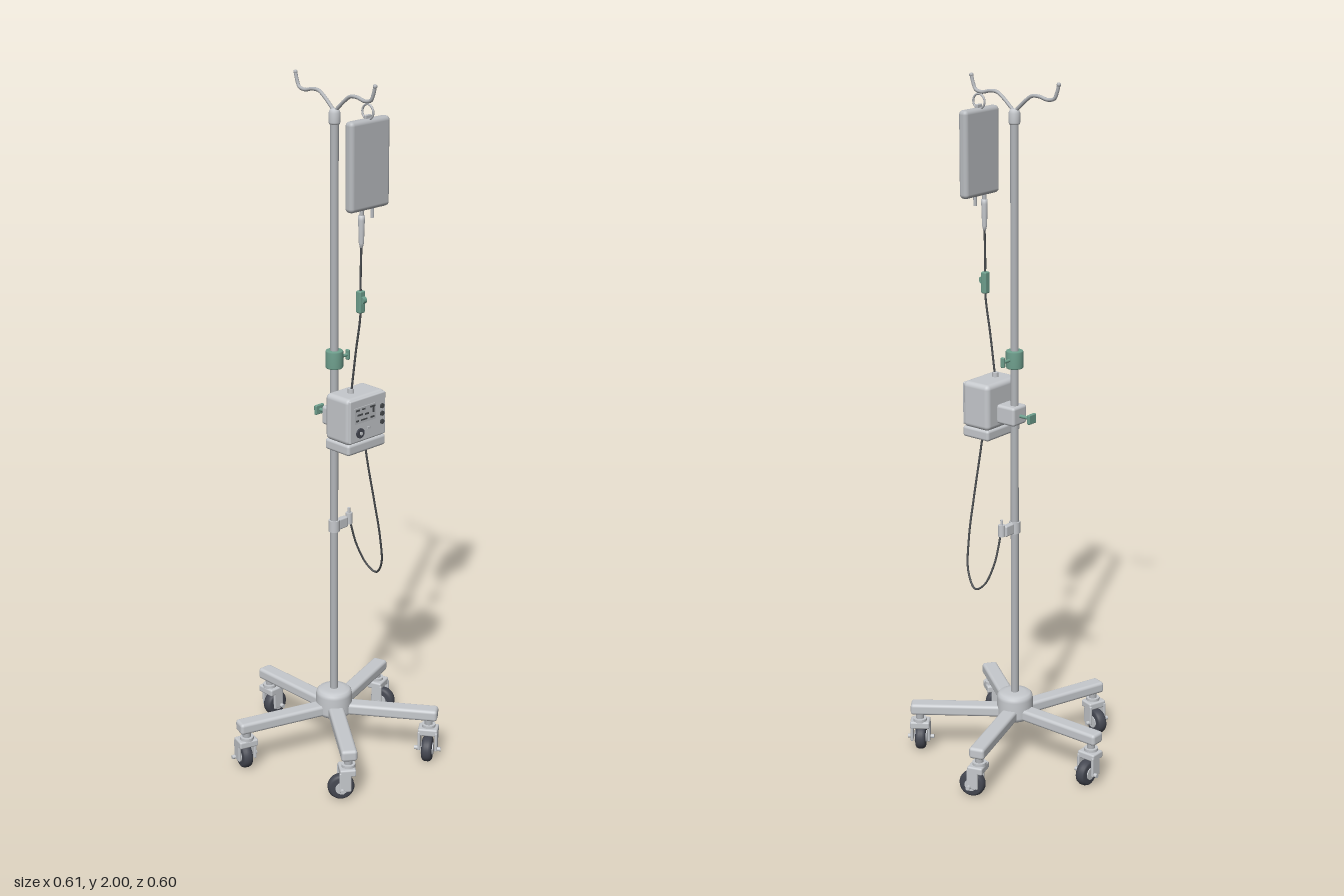
import * as THREE from 'three';
import { RoundedBoxGeometry } from 'three/addons/geometries/RoundedBoxGeometry.js';

const PX = -0.007, PZ = 0.021; // pole axis

const mat = (name, color) => {
  const m = new THREE.MeshStandardMaterial({ color });
  m.name = name;
  return m;
};

export function createModel() {
  const shell = mat('light grey shell', 0xc6c9cd);
  const metal = mat('pole metal', 0xb2b5b9);
  const bagGrey = mat('bag grey', 0xb9bcc0);
  const rubber = mat('dark rubber', 0x454852);
  const green = mat('muted green', 0x6fa08e);
  const ink = mat('dark tubing', 0x4a4d50);

  const model = new THREE.Group();
  model.name = 'infusionStand';

  const add = (parent, name, geo, m, x = 0, y = 0, z = 0) => {
    const mesh = new THREE.Mesh(geo, m);
    mesh.name = name;
    mesh.position.set(x, y, z);
    parent.add(mesh);
    return mesh;
  };
  const box = (w, h, d, r = 0) => r
    ? new RoundedBoxGeometry(w, h, d, 4, r)
    : new THREE.BoxGeometry(w, h, d);
  // cylinder along a chosen axis
  const cyl = (r, len, axis = 'y', r2 = r) => {
    const g = new THREE.CylinderGeometry(r2, r, len, 28);
    if (axis === 'x') g.rotateZ(-Math.PI / 2);
    if (axis === 'z') g.rotateX(Math.PI / 2);
    return g;
  };
  const tube = (pts, r, n = 60) => new THREE.TubeGeometry(
    new THREE.CatmullRomCurve3(pts.map(p => new THREE.Vector3(...p))), n, r, 10);
  const lathe = (pts) => new THREE.LatheGeometry(pts.map(p => new THREE.Vector2(...p)), 40);

  // Base hub with softened rim
  add(model, 'baseHub', lathe([[0, 0.122], [0.045, 0.122], [0.052, 0.128], [0.053, 0.135],
    [0.053, 0.185], [0.051, 0.194], [0.045, 0.2], [0.03, 0.203], [0, 0.203]]), shell, PX, 0, PZ);

  // Five legs, each with a trailing caster
  for (let i = 0; i < 5; i++) {
    const leg = new THREE.Group();
    leg.name = 'leg' + (i + 1);
    leg.position.set(PX, 0, PZ);
    leg.rotation.y = i * Math.PI * 2 / 5;
    model.add(leg);
    add(leg, 'legBeam', box(0.046, 0.034, 0.29, 0.009), shell, 0, 0.143, -0.163);

    const caster = new THREE.Group();
    caster.name = 'caster';
    caster.position.z = -0.282;
    leg.add(caster);
    add(caster, 'swivelStem', cyl(0.012, 0.03), metal, 0, 0.115, 0);
    add(caster, 'swivelCollar', cyl(0.02, 0.01), shell, 0, 0.104, 0);
    add(caster, 'forkCrown', box(0.046, 0.022, 0.058, 0.005), shell, 0.004, 0.09, 0);
    for (const s of [-1, 1]) {
      add(caster, 'forkSide', box(0.034, 0.06, 0.008, 0.003), shell, 0.012, 0.062, s * 0.025);
      add(caster, 'wheelHub', cyl(0.018, 0.006, 'z'), shell, 0.021, 0.038, s * 0.015);
      add(caster, 'axleBolt', cyl(0.006, 0.01, 'z'), shell, 0.021, 0.038, s * 0.034);
    }
    const tyre = lathe([[0.012, -0.015], [0.03, -0.015], [0.035, -0.012], [0.038, -0.005],
      [0.038, 0.005], [0.035, 0.012], [0.03, 0.015], [0.012, 0.015]]);
    tyre.rotateX(Math.PI / 2);
    add(caster, 'tyre', tyre, rubber, 0.021, 0.038, 0);
  }

  // Pole, top collar and twin hooks
  add(model, 'pole', cyl(0.0115, 1.71), metal, PX, 1.05, PZ);
  add(model, 'topCollar', lathe([[0, 1.875], [0.014, 1.875], [0.016, 1.88], [0.016, 1.905],
    [0.012, 1.915], [0, 1.918]]), shell, PX, 0, PZ);
  const hookPts = [[0, 1.908, 0], [0, 1.921, 0.014], [0, 1.942, 0.038], [0, 1.956, 0.06],
    [0, 1.957, 0.085], [0, 1.951, 0.113], [0, 1.956, 0.135], [0, 1.973, 0.144], [0, 1.994, 0.15]];
  for (const s of [-1, 1]) {
    const pts = hookPts.map(([x, y, z]) => [x, y, s * z]);
    add(model, 'hook', tube(pts, 0.005), metal, PX, 0, PZ);
    add(model, 'hookTip', new THREE.SphereGeometry(0.006, 14, 10), metal, PX, 1.994, PZ + s * 0.15);
  }

  // Fluid bag, hanger and ports
  const BZ = 0.145;
  add(model, 'fluidBag', box(0.146, 0.242, 0.03, 0.012), bagGrey, PX, 1.787, BZ);
  add(model, 'bagHanger', new THREE.TorusGeometry(0.02, 0.003, 8, 28), bagGrey, PX, 1.925, BZ)
    .rotation.y = Math.PI / 2;
  add(model, 'bagHangerTab', box(0.022, 0.014, 0.008, 0.003), bagGrey, PX, 1.911, BZ);
  add(model, 'bagPort', cyl(0.005, 0.03), bagGrey, 0.012, 1.655, BZ);
  add(model, 'bagPort', cyl(0.006, 0.03), bagGrey, -0.028, 1.66, BZ);

  // Drip chamber, roller clamp and upper line
  add(model, 'dripChamber', lathe([[0, 1.565], [0.004, 1.565], [0.007, 1.578], [0.009, 1.64],
    [0.009, 1.652], [0, 1.655]]), shell, -0.028, 0, BZ);
  add(model, 'upperLine', tube([[-0.028, 1.57, BZ], [-0.03, 1.48, BZ], [-0.03, 1.38, BZ],
    [-0.03, 1.27, 0.128], [-0.029, 1.14, 0.109]], 0.003), ink);
  add(model, 'lineClamp', box(0.02, 0.062, 0.018, 0.004), green, -0.03, 1.416, BZ);
  add(model, 'clampRoller', cyl(0.01, 0.012, 'x'), green, -0.03, 1.422, BZ + 0.009);
  add(model, 'lineInlet', cyl(0.009, 0.016), shell, -0.029, 1.153, 0.109);

  // Green pole collar with side screw
  add(model, 'poleCollar', lathe([[0.011, 1.195], [0.023, 1.195], [0.025, 1.198], [0.025, 1.242],
    [0.023, 1.245], [0.011, 1.245]]), green, PX, 0, PZ);
  add(model, 'collarScrew', cyl(0.0045, 0.034, 'x'), green, 0.03, 1.221, PZ);
  add(model, 'collarGrip', box(0.008, 0.03, 0.012, 0.003), green, 0.045, 1.221, PZ);

  // Pump housing
  const pump = new THREE.Group();
  pump.name = 'pump';
  pump.position.set(-0.009, 1.068, 0);
  model.add(pump);
  add(pump, 'pumpBody', box(0.146, 0.134, 0.094, 0.014), shell, 0, 0.013, 0.107);
  add(pump, 'pumpFoot', box(0.146, 0.032, 0.094, 0.008), shell, 0, -0.067, 0.107);
  add(pump, 'pumpFront', box(0.138, 0.124, 0.01, 0.004), shell, 0, 0.014, 0.151);

  // Pump panel markings, keys and dial
  const mark = (name, x, y, w, h, m = ink) => add(pump, name, box(w, h, 0.004), m, x, y, 0.157);
  mark('screen', -0.014, 0.03, 0.082, 0.046, bagGrey);
  for (const [x, y, w, h] of [[-0.043, 0.046, 0.012, 0.005], [-0.02, 0.046, 0.012, 0.004],
    [0.014, 0.046, 0.018, 0.005], [-0.034, 0.032, 0.02, 0.005], [-0.008, 0.03, 0.014, 0.005],
    [0.017, 0.036, 0.005, 0.016], [-0.044, 0.016, 0.01, 0.005], [-0.018, 0.016, 0.024, 0.004],
    [0.014, 0.016, 0.014, 0.005]]) {
    add(pump, 'screenMark', box(w, h, 0.003), ink, x, y, 0.159);
  }
  for (const y of [0.042, 0.02, -0.004]) {
    add(pump, 'key', cyl(0.007, 0.006, 'z'), ink, 0.053, y - 0.005, 0.157);
  }
  add(pump, 'dial', cyl(0.014, 0.008, 'z'), rubber, -0.032, -0.022, 0.157);
  add(pump, 'dialCap', cyl(0.005, 0.003, 'z'), shell, -0.032, -0.022, 0.162);
  mark('smallButton', 0.002, -0.014, 0.012, 0.006, bagGrey);

  // Pump clamp gripping the pole, with tightening screw behind
  add(model, 'pumpClamp', box(0.06, 0.055, 0.066, 0.008), shell, PX, 1.058, 0.033);
  add(model, 'clampScrew', cyl(0.005, 0.042, 'z'), green, PX, 1.057, -0.019);
  add(model, 'clampGrip', box(0.032, 0.028, 0.01, 0.003), green, PX, 1.057, -0.04);

  // Hanging lower line and its pole clip
  add(model, 'lowerLine', tube([[0.018, 1.0, 0.115], [0.028, 0.92, 0.121], [0.05, 0.81, 0.124],
    [0.077, 0.69, 0.122], [0.1, 0.595, 0.106], [0.112, 0.553, 0.07], [0.104, 0.572, 0.042],
    [0.083, 0.63, 0.024], [0.064, 0.69, PZ], [0.054, 0.73, PZ]], 0.003, 90), ink);
  add(model, 'lineOutlet', cyl(0.007, 0.016), shell, 0.019, 0.982, 0.115);
  add(model, 'clipRing', cyl(0.016, 0.034), shell, PX, 0.72, PZ);
  add(model, 'clipArm', box(0.036, 0.032, 0.018, 0.004), shell, 0.023, 0.72, PZ);
  add(model, 'clipHolder', cyl(0.01, 0.034), shell, 0.052, 0.726, PZ);
  add(model, 'clipTip', cyl(0.004, 0.02), shell, 0.052, 0.748, PZ);

  return model;
}
